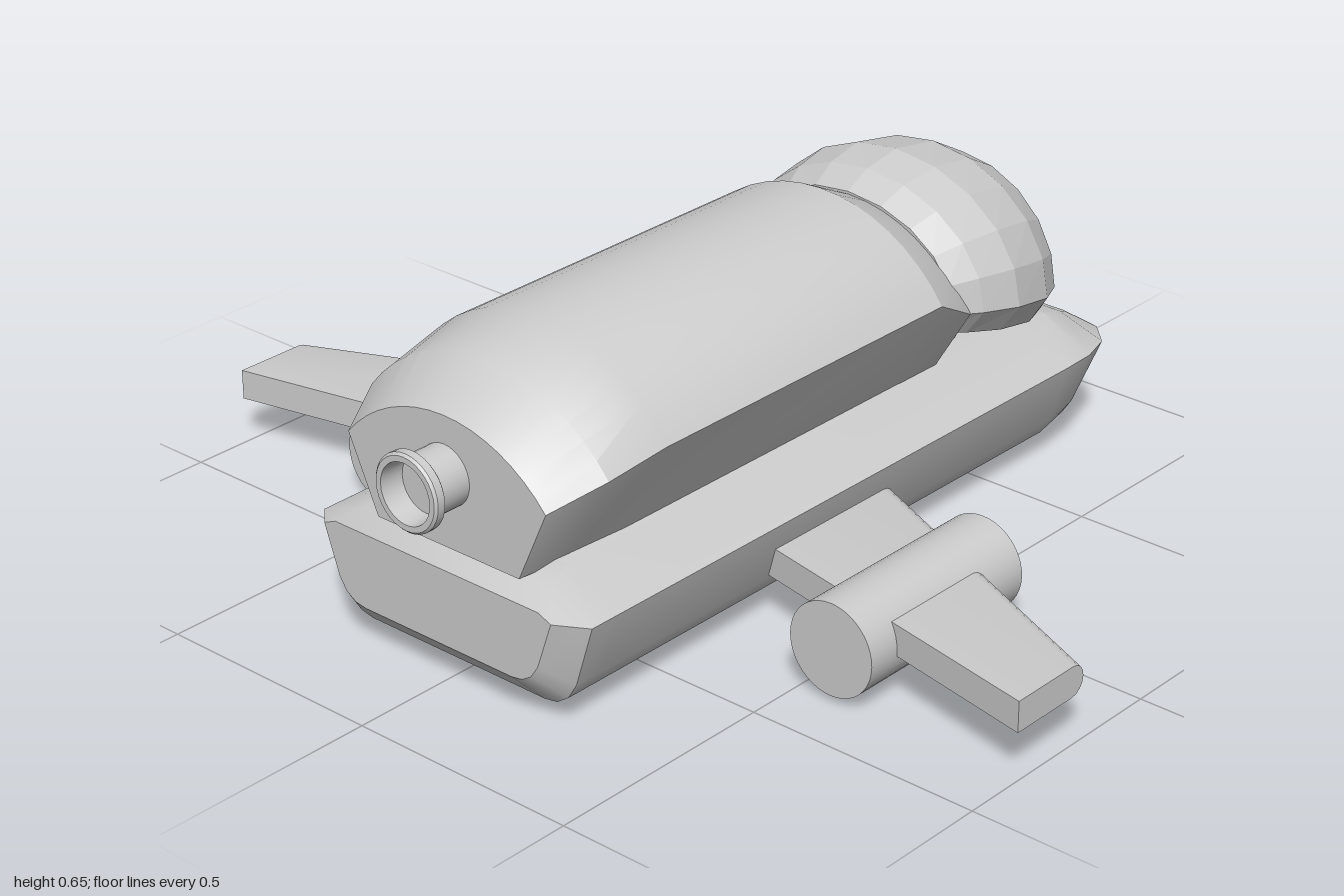
import * as THREE from 'three';
import { toCreasedNormals } from 'three/addons/utils/BufferGeometryUtils.js';

// Skin closed rings of [x, y, z] points, with both ends capped
function loft(rings, crease = 0.5) {
  const n = rings[0].length, last = (rings.length - 1) * n, index = [];
  for (let i = 0; i < rings.length - 1; i++) {
    for (let j = 0; j < n; j++) {
      const a = i * n + j, b = i * n + (j + 1) % n;
      index.push(a, a + n, b + n, a, b + n, b);
    }
  }
  for (let j = 1; j < n - 1; j++) {
    index.push(0, j, j + 1, last, last + j + 1, last + j);
  }
  const geometry = new THREE.BufferGeometry();
  geometry.setAttribute('position', new THREE.Float32BufferAttribute(rings.flat(2), 3));
  geometry.setIndex(index);
  return toCreasedNormals(geometry, crease);
}

// Complete a symmetric section from its +x half, listed bottom to top
function mirrored(half, z) {
  const right = half.map(([x, y]) => [x, y, z]);
  const left = half.filter(([x]) => x > 1e-6).reverse().map(([x, y]) => [-x, y, z]);
  return [...right, ...left];
}

// Lower hull: z, rim half width, rim y, deck half width, deck y, keel y
const hullRows = [
  [0.805, 0.29, 0.235, 0.26, 0.248, 0.09],
  [0.755, 0.343, 0.225, 0.24, 0.265, 0.035],
  [0.69, 0.343, 0.225, 0.22, 0.285, 0.035],
  [-0.65, 0.343, 0.225, 0.22, 0.285, 0.035],
  [-0.73, 0.34, 0.225, 0.22, 0.283, 0.055],
  [-0.8, 0.32, 0.225, 0.21, 0.26, 0.105],
  [-0.85, 0.27, 0.225, 0.19, 0.235, 0.165],
  [-0.87, 0.21, 0.22, 0.17, 0.225, 0.205],
];
function hullRing([z, w, rim, deckW, deck, keel]) {
  const side = [[0.65, 0], [0.74, 0.03], [0.82, 0.13], [0.88, 0.31], [1, 1]];
  const half = side.map(([fx, fy]) => [w * fx, keel + (rim - keel) * fy]);
  return mirrored([...half, [deckW, deck]], z);
}

// Upper body: z, shoulder half width, shoulder y, roof y, base half width
const bodyRows = [
  [0.77, 0.25, 0.425, 0.54, 0.18],
  [0.66, 0.3, 0.465, 0.61, 0.19],
  [0.52, 0.312, 0.485, 0.647, 0.2],
  [-0.27, 0.312, 0.485, 0.647, 0.2],
  [-0.39, 0.29, 0.42, 0.59, 0.2],
  [-0.52, 0.2, 0.38, 0.5, 0.15],
];
function bodyRing([z, w, shoulder, roof, baseW]) {
  const h = roof - shoulder, r = (w * w + h * h) / (2 * h), half = [[baseW, 0.272]];
  for (let k = 0; k <= 8; k++) {
    const a = Math.asin(w / r) * (1 - k / 8);
    half.push([r * Math.sin(a), roof - r + r * Math.cos(a)]);
  }
  return mirrored(half, z);
}

// Rear dome: z, half width, base y, top y
const domeRows = [
  [-0.36, 0.27, 0.375, 0.61],
  [-0.42, 0.3, 0.36, 0.64],
  [-0.51, 0.32, 0.34, 0.655],
  [-0.63, 0.3, 0.31, 0.635],
  [-0.73, 0.245, 0.29, 0.58],
  [-0.8, 0.155, 0.278, 0.51],
  [-0.845, 0.04, 0.31, 0.39],
];
function domeRing([z, w, base, top]) {
  const mid = base + (top - base) * 0.2, half = [[w * 0.86, base]];
  for (let k = 0; k <= 5; k++) {
    const a = k / 5 * Math.PI / 2;
    half.push([w * Math.cos(a), mid + (top - mid) * Math.sin(a)]);
  }
  return mirrored(half, z);
}

// Wing section: flat trailing edge (+z), round leading edge (-z)
function wingRing(x, lead, trail) {
  const y = 0.133, r = 0.032, ring = [[x, y + r, trail], [x, y - r, trail]];
  for (let k = 0; k <= 8; k++) {
    const a = -Math.PI / 2 + k / 8 * Math.PI;
    ring.push([x, y + r * Math.sin(a), lead + r - r * Math.cos(a)]);
  }
  return ring;
}

export function createModel() {
  const model = new THREE.Group();
  const grey = new THREE.MeshStandardMaterial({ color: 0xcccccc });
  const faceted = new THREE.MeshStandardMaterial({ color: 0xcccccc, flatShading: true });
  const add = (name, geometry, material = grey) => {
    const mesh = new THREE.Mesh(geometry, material);
    mesh.name = name;
    model.add(mesh);
    return mesh;
  };

  add('lowerHull', loft(hullRows.map(hullRing)));
  add('upperBody', loft(bodyRows.map(bodyRing), 0.35));
  add('rearDome', loft(domeRows.map(domeRing)), faceted);

  // Hollow flanged nozzle on the front face
  const profile = [[0, 0.05], [0.058, 0.05], [0.062, 0.1], [0.074, 0.1], [0.079, 0.095],
    [0.079, 0.078], [0.072, 0.072], [0.062, 0.072], [0.062, -0.02]];
  const lathe = new THREE.LatheGeometry(
    profile.reverse().map(([r, y]) => new THREE.Vector2(r, y)), 32);
  const nozzle = add('frontNozzle', toCreasedNormals(lathe, 0.6));
  nozzle.rotation.x = Math.PI / 2;
  nozzle.position.set(0, 0.42, 0.77);

  // Swept wings, each running through a cylindrical pod
  for (const side of [1, -1]) {
    const label = side > 0 ? 'left' : 'right';
    const rings = [wingRing(side, 0.185, 0.375), wingRing(0.25 * side, -0.15, 0.22)];
    if (side < 0) rings.reverse();
    add(label + 'Wing', loft(rings));

    const r = side > 0 ? 0.096 : 0.099;
    const pod = add(label + 'Pod', new THREE.CylinderGeometry(r, r, 0.445, 40));
    pod.rotation.x = Math.PI / 2;
    pod.position.set(0.58 * side, side > 0 ? 0.11 : 0.1, 0.158);
  }
  return model;
}
